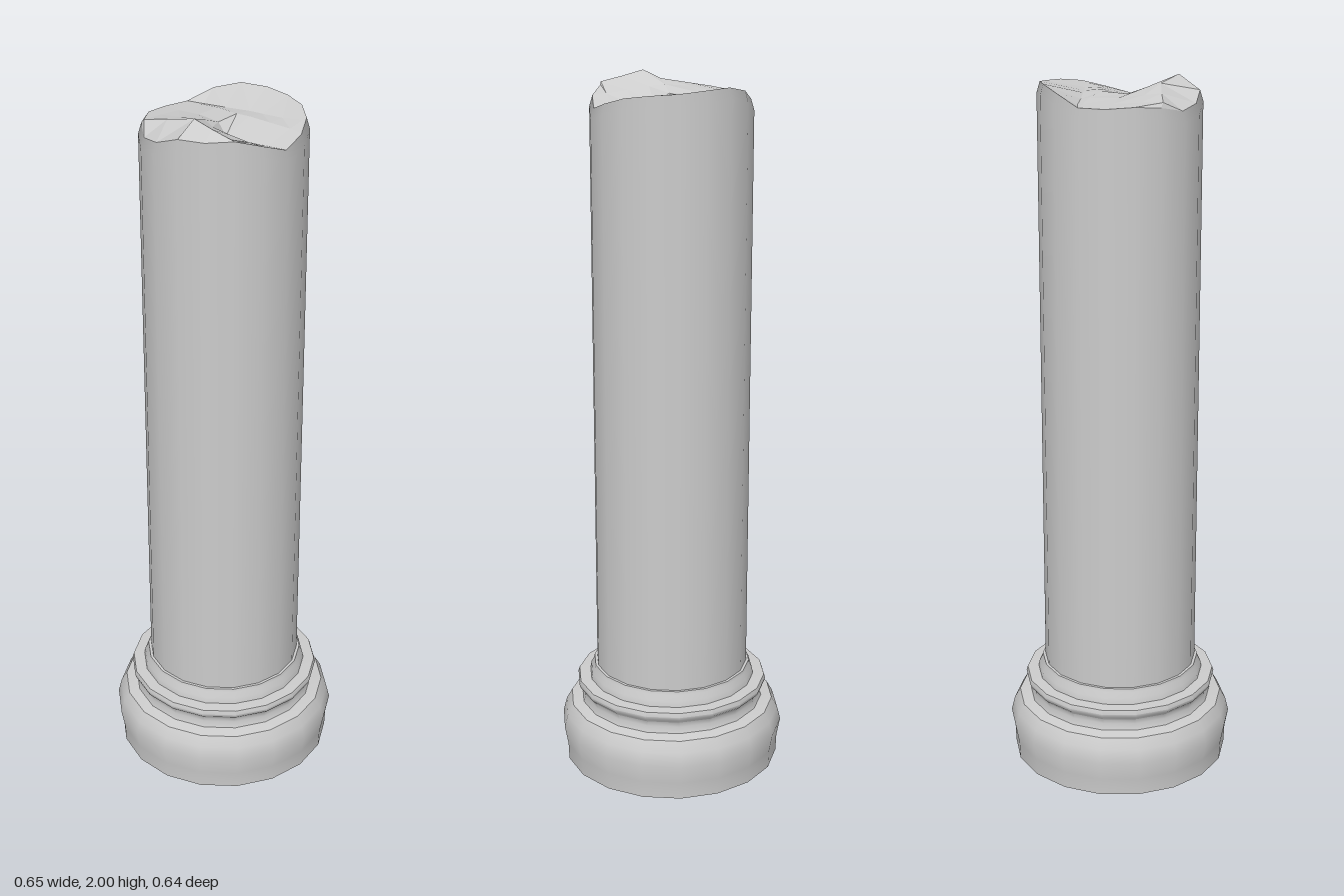
import * as THREE from 'three';
import { toCreasedNormals } from 'three/addons/utils/BufferGeometryUtils.js';

const SIDES = 18;
const STEP = (Math.PI * 2) / SIDES;
const SHAFT_RADIUS = 0.222;
const RIM_RADIUS = 0.213;
const SHAFT_BOTTOM = 0.29;

// Height of the broken rim at every 20 degrees, from +x towards +z
const RIM = [1.92, 1.945, 1.965, 1.96, 1.96, 1.935, 1.925, 1.94, 1.945,
  1.94, 1.94, 1.97, 1.985, 1.982, 1.975, 1.97, 1.96, 1.94];

const rimPoint = (k) => [RIM_RADIUS * Math.cos(k * STEP), RIM[k], RIM_RADIUS * Math.sin(k * STEP)];

// Moulded foot, turned from its profile
function buildBase() {
  const profile = [
    [0, 0], [0.315, 0], [0.317, 0.05], [0.327, 0.105], [0.317, 0.145], [0.3, 0.175],
    [0.268, 0.182], [0.262, 0.2], [0.264, 0.215], [0.277, 0.228], [0.28, 0.238], [0.276, 0.25],
    [0.243, 0.252], [0.24, 0.27], [0.232, 0.285], [0.23, 0.295], [0.2, 0.295],
  ].map(([r, y]) => new THREE.Vector2(r, y));
  return toCreasedNormals(new THREE.LatheGeometry(profile, SIDES, Math.PI / 2), 0.65);
}

// Shaft whose upper edge follows the broken rim, with a chipped bevel
function buildShaft() {
  const geometry = new THREE.CylinderGeometry(SHAFT_RADIUS, SHAFT_RADIUS, 1, SIDES, 2, true, Math.PI / 2);
  const p = geometry.attributes.position;
  for (let i = 0; i < p.count; i++) {
    const k = (Math.round(Math.atan2(p.getZ(i), p.getX(i)) / STEP) + SIDES) % SIDES;
    const level = p.getY(i);
    if (level > 0.25) p.setXYZ(i, ...rimPoint(k));
    else p.setY(i, level < -0.25 ? SHAFT_BOTTOM : RIM[k] - 0.03);
  }
  return geometry;
}

// Broken top: rows of points running left to right, ordered back to front
function buildFracture() {
  const xs = [-0.15, -0.08, 0, 0.04, 0.1, 0.16];
  const row = (left, zs, ys, right) =>
    [rimPoint(left), ...xs.map((x, i) => [x, ys[i], zs[i]]), rimPoint(right)];
  const rows = [
    // back rim
    [10, 11, 12, 13, 14, 15, 16, 17].map(rimPoint),
    // foot of the back slope
    row(10, [-0.085, -0.09, -0.1, -0.105, -0.115, -0.125], [1.94, 1.945, 1.95, 1.95, 1.95, 1.955], 17),
    // upper and lower edge of the notch
    row(10, [-0.07, -0.065, -0.05, -0.055, -0.065, -0.075], [1.943, 1.95, 1.955, 1.955, 1.95, 1.945], 17),
    row(9, [0.01, 0.01, 0.02, 0.035, 0.025, 0.01], [1.945, 1.95, 1.95, 1.925, 1.922, 1.92], 0),
    // slope up to the front ridge
    row(8, [0.08, 0.08, 0.07, 0.085, 0.085, 0.08], [1.95, 1.96, 1.968, 1.962, 1.955, 1.948], 1),
    row(7, [0.14, 0.125, 0.11, 0.152, 0.15, 0.147], [1.952, 1.965, 1.98, 2.0, 1.985, 1.972], 2),
    // front rim
    [7, 7, 6, 5, 4, 3, 2, 2].map(rimPoint),
  ];
  const positions = [];
  for (let i = 0; i < rows.length - 1; i++) {
    for (let j = 0; j < rows[i].length - 1; j++) {
      const a = rows[i][j], b = rows[i][j + 1], c = rows[i + 1][j], d = rows[i + 1][j + 1];
      positions.push(...a, ...c, ...d, ...a, ...d, ...b);
    }
  }
  const geometry = new THREE.BufferGeometry();
  geometry.setAttribute('position', new THREE.Float32BufferAttribute(positions, 3));
  geometry.computeVertexNormals();
  return geometry;
}

export function createModel() {
  const group = new THREE.Group();
  group.name = 'brokenColumn';
  const stone = new THREE.MeshStandardMaterial({ color: 0xcccccc });
  const brokenStone = new THREE.MeshStandardMaterial({
    color: 0xcccccc, flatShading: true, side: THREE.DoubleSide,
  });
  const add = (name, geometry, material) => {
    const mesh = new THREE.Mesh(geometry, material);
    mesh.name = name;
    group.add(mesh);
  };
  add('base', buildBase(), stone);
  add('shaft', buildShaft(), stone);
  add('brokenTop', buildFracture(), brokenStone);
  return group;
}
